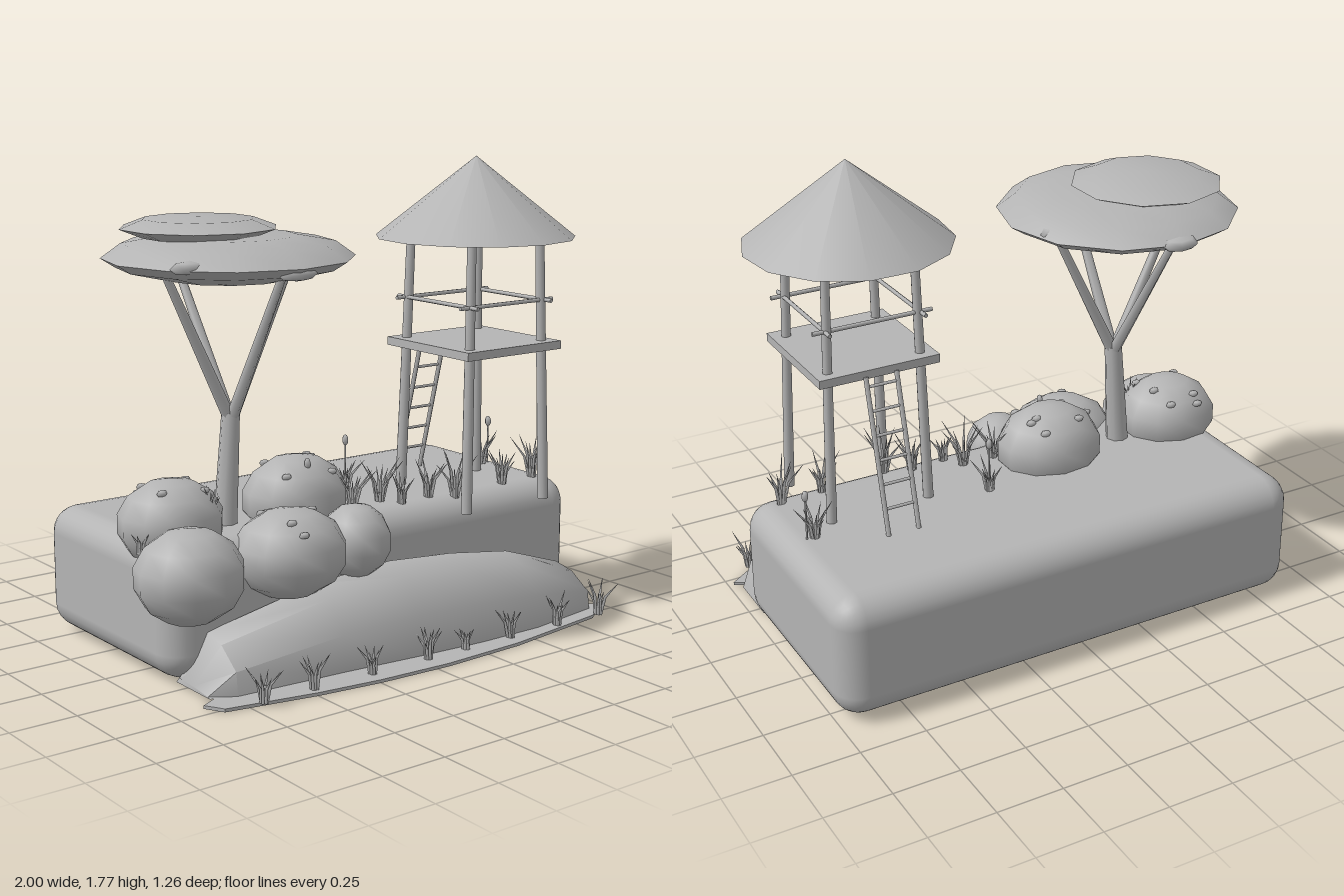
import * as THREE from 'three';
import { toCreasedNormals } from 'three/addons/utils/BufferGeometryUtils.js';
import { RoundedBoxGeometry } from 'three/addons/geometries/RoundedBoxGeometry.js';

export function createModel() {
  const model = new THREE.Group();
  const grey = new THREE.MeshStandardMaterial({ color: 0xb4b4b4, side: THREE.DoubleSide });
  grey.name = 'stoneGrey';
  let seed = 7;
  const rand = () => (seed = (seed * 16807) % 2147483647) / 2147483647;

  function add(name, geo, x = 0, y = 0, z = 0, parent = model) {
    const m = new THREE.Mesh(geo, grey);
    m.name = name;
    m.position.set(x, y, z);
    parent.add(m);
    return m;
  }
  // Tapered pole between two points
  function pole(name, a, b, r0, r1 = r0, sides = 7, parent = model) {
    const p = new THREE.Vector3(...a), q = new THREE.Vector3(...b);
    const d = q.clone().sub(p);
    const m = add(name, new THREE.CylinderGeometry(r1, r0, d.length(), sides), 0, 0, 0, parent);
    m.position.copy(p).add(q).multiplyScalar(0.5);
    m.quaternion.setFromUnitVectors(new THREE.Vector3(0, 1, 0), d.normalize());
    return m;
  }
  function blob(name, pos, size, seg = 10, rows = 7, parent = model) {
    const g = new THREE.SphereGeometry(1, seg, rows);
    g.scale(...size);
    return add(name, g, ...pos, parent);
  }
  function group(name) {
    const g = new THREE.Group();
    g.name = name;
    model.add(g);
    return g;
  }

  // Ground block
  add('groundBlock', new RoundedBoxGeometry(1.89, 0.472, 0.895, 3, 0.1), 0.055, 0.25, -0.184);

  // Front bank: cross-sections of x, crest height and front edge
  const sections = [
    [-0.83, 0.03, 0.41], [-0.74, 0.19, 0.45], [-0.3, 0.29, 0.48], [0.02, 0.325, 0.51],
    [0.3, 0.31, 0.53], [0.58, 0.27, 0.53], [0.9, 0.16, 0.48], [0.96, 0.02, 0.41],
  ];
  const pos = [], idx = [], n = 6;
  for (const [x, h, zf] of sections) {
    pos.push(x, 0.01, zf, x, h * 0.5, zf - 0.01, x, h * 0.88, zf - 0.1,
      x, h, zf - 0.19, x, h * 0.9, 0.24, x, 0.01, 0.2);
  }
  for (let s = 0; s < sections.length - 1; s++) {
    for (let k = 0; k < n; k++) {
      const a = s * n + k, b = s * n + (k + 1) % n;
      idx.push(a, a + n, b, b, a + n, b + n);
    }
  }
  const last = (sections.length - 1) * n;
  for (let k = 1; k < n - 1; k++) idx.push(0, k, k + 1, last, last + k + 1, last + k);
  const bank = new THREE.BufferGeometry();
  bank.setAttribute('position', new THREE.Float32BufferAttribute(pos, 3));
  bank.setIndex(idx);
  add('frontBank', toCreasedNormals(bank, 0.9));

  // Thin shore along the foot of the bank
  const shore = new THREE.Shape([
    [-0.88, 0.45], [-0.84, 0.52], [-0.5, 0.585], [-0.25, 0.615], [0.05, 0.63], [0.4, 0.615],
    [0.85, 0.55], [0.98, 0.46], [0.9, 0.41], [0.94, 0.3], [-0.7, 0.3], [-0.82, 0.42],
  ].map(([x, z]) => new THREE.Vector2(x, z)));
  const shoreGeo = new THREE.ExtrudeGeometry(shore, { depth: 0.012, bevelEnabled: false });
  shoreGeo.rotateX(Math.PI / 2);
  add('shore', shoreGeo, 0, 0.012, 0);

  // Boulders with small pebbles on top
  const boulders = group('boulders');
  const rocks = [
    [[-0.8, 0.4, 0.25], [0.203, 0.17, 0.19]],
    [[-0.385, 0.415, 0.26], [0.22, 0.163, 0.195]],
    [[-0.107, 0.417, 0.28], [0.135, 0.138, 0.135]],
    [[-0.73, 0.53, 0.02], [0.2, 0.16, 0.18]],
    [[-0.18, 0.53, 0.01], [0.212, 0.17, 0.18]],
  ];
  rocks.forEach(([p, s], i) => {
    blob('boulder', p, s, 11, 7, boulders);
    if (i === 0 || i === 2) return;
    for (let k = 0; k < 6; k++) {
      const t = rand() * Math.PI * 2, e = 0.55 + rand() * 0.6;
      const q = [p[0] + s[0] * Math.cos(t) * Math.cos(e) * 0.98,
        p[1] + s[1] * Math.sin(e) * 0.98, p[2] + s[2] * Math.sin(t) * Math.cos(e) * 0.98];
      blob('pebble', q, [0.022, 0.012, 0.016], 6, 4, boulders);
    }
  });

  // Tree: trunk, four branches, two flat crowns
  const tree = group('tree');
  pole('trunk', [-0.495, 0.46, 0.01], [-0.465, 0.89, 0.01], 0.045, 0.034, 8, tree);
  for (const tip of [[-0.74, 1.41, 0.03], [-0.19, 1.41, 0], [-0.455, 1.41, 0.32], [-0.465, 1.41, -0.35]]) {
    pole('branch', [-0.465, 0.86, 0.01], tip, 0.023, 0.015, 6, tree);
  }
  function crown(name, profile, sides, p) {
    const g = new THREE.LatheGeometry(profile.map(([r, y]) => new THREE.Vector2(r, y)), sides);
    add(name, toCreasedNormals(g, 1.2), ...p, tree);
  }
  crown('lowerCrown', [[0, -0.083], [0.22, -0.072], [0.4, -0.03], [0.452, 0.003], [0.38, 0.055],
    [0.24, 0.08], [0, 0.088]], 12, [-0.465, 1.45, 0.01]);
  crown('upperCrown', [[0, -0.04], [0.2, -0.034], [0.285, 0], [0.2, 0.032], [0, 0.038]],
    10, [-0.555, 1.558, -0.045]);
  for (const p of [[-0.45, 1.43, 0.4], [-0.46, 1.45, -0.41], [-0.13, 1.46, -0.12], [-0.78, 1.46, 0.25]]) {
    blob('leafClump', p, [0.08, 0.025, 0.05], 7, 4, tree);
  }

  // Watchtower
  const tower = group('watchtower');
  const cx = 0.575, cz = 0.14;
  add('roof', toCreasedNormals(new THREE.ConeGeometry(0.384, 0.305, 13), 0.8), cx, 1.62, cz, tower);
  add('platform', new THREE.BoxGeometry(0.47, 0.032, 0.475), cx, 1.057, cz, tower);
  for (const sx of [-1, 1]) {
    for (const sz of [-1, 1]) {
      pole('post', [cx + sx * 0.197, 0.45, cz + sz * 0.197],
        [cx + sx * 0.17, 1.5, cz + sz * 0.175], 0.021, 0.017, 8, tower);
    }
    const o = sx * 0.185;
    pole('railing', [cx - 0.232, 1.23, cz + o], [cx + 0.232, 1.23, cz + o], 0.008, 0.008, 6, tower);
    pole('railing', [cx + o, 1.23, cz - 0.232], [cx + o, 1.23, cz + 0.232], 0.008, 0.008, 6, tower);
    pole('ladderRail', [cx + sx * 0.06, 1.05, -0.1], [cx + sx * 0.06, 0.48, -0.25], 0.009, 0.009, 6, tower);
  }
  for (let i = 0; i < 6; i++) {
    const y = 1.015 - i * 0.087, z = -0.1 - (1.05 - y) * 0.263;
    pole('ladderRung', [cx - 0.06, y, z], [cx + 0.06, y, z], 0.006, 0.006, 5, tower);
  }

  // Grass tufts: slender blades leaning outward
  const grass = group('grass');
  function tuft(x, y, z, height, count = 9, spread = 0.5) {
    for (let i = 0; i < count; i++) {
      const a = (i + rand() * 0.6) / count * Math.PI * 2;
      const h = height * (0.6 + rand() * 0.4), lean = h * spread * (0.5 + rand() * 0.7);
      const c = Math.cos(a), s = Math.sin(a);
      const mid = [x + c * lean * 0.35, y + h * 0.55, z + s * lean * 0.35];
      pole('blade', [x + c * 0.01, y, z + s * 0.01], mid, 0.007, 0.006, 3, grass);
      pole('bladeTip', mid, [x + c * lean, y + h, z + s * lean], 0.006, 0.0005, 3, grass);
    }
  }
  for (const [x, h] of [[-0.7, 0.14], [-0.49, 0.14], [-0.235, 0.11], [0.02, 0.13], [0.2, 0.08],
    [0.42, 0.12], [0.66, 0.13], [0.88, 0.15]]) tuft(x, 0.01, 0.55, h, 8);
  for (const [x, z, h] of [[0.16, -0.13, 0.14], [0.02, 0.1, 0.16], [0.15, 0.1, 0.18], [0.2, 0.17, 0.14],
    [0.34, 0.16, 0.17], [0.44, 0.2, 0.19], [0.71, 0.17, 0.16], [0.88, 0.16, 0.18], [0.87, -0.13, 0.15]]) {
    tuft(x, 0.475, z, h);
  }
  tuft(-0.62, 0.56, 0.12, 0.11, 7);
  tuft(-0.9, 0.46, 0.1, 0.09, 6);

  // Seed heads on stems
  for (const [x, z, y] of [[0.16, -0.13, 0.68], [0.9, -0.13, 0.66], [-0.19, 0.1, 0.68]]) {
    pole('stem', [x, 0.475, z], [x, y, z], 0.004, 0.004, 4, grass);
    blob('seedHead', [x, y, z], [0.013, 0.022, 0.013], 6, 5, grass);
  }
  return model;
}
